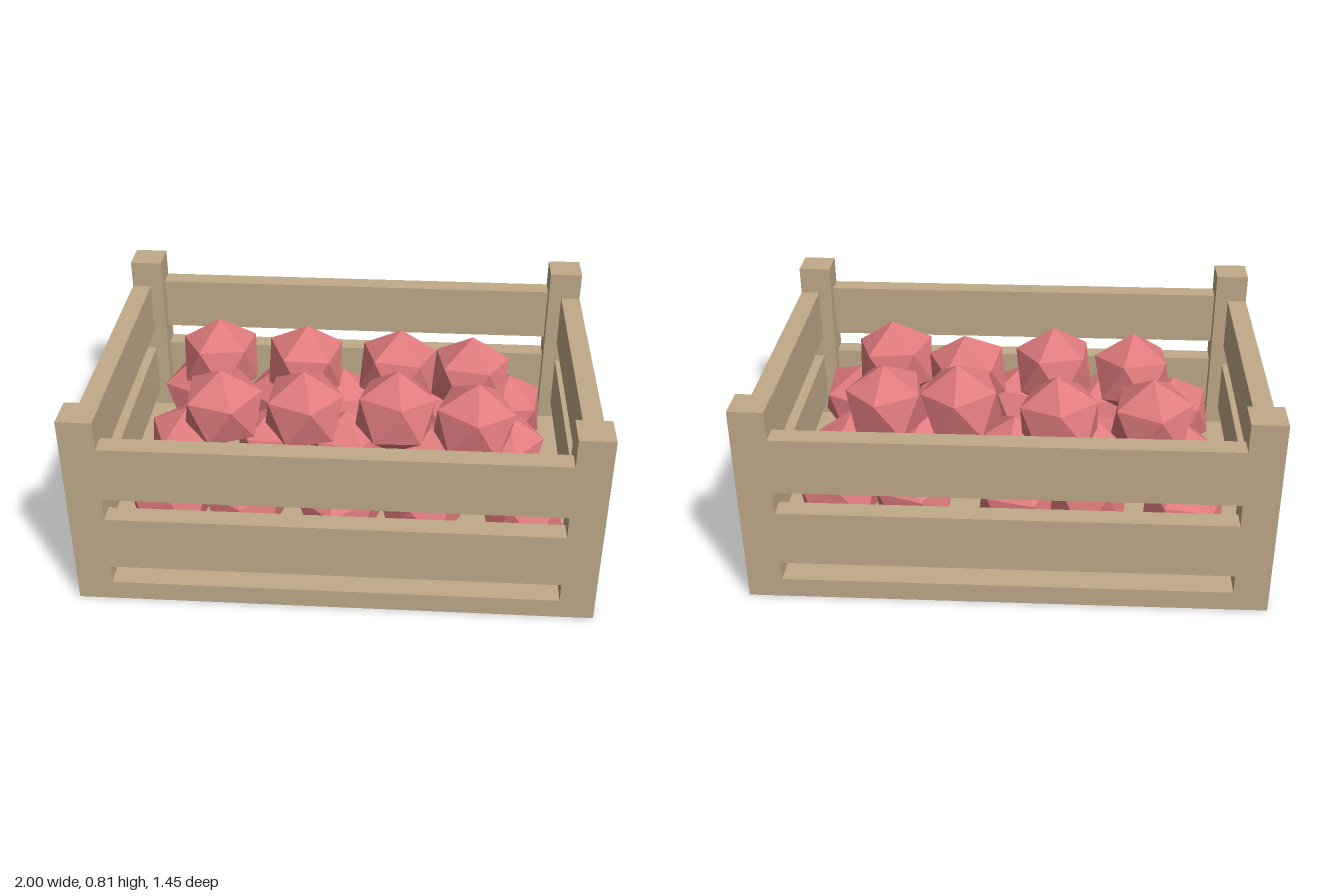
import * as THREE from 'three';

const wood = new THREE.MeshStandardMaterial({ color: 0xc0ab89, flatShading: true });
const skin = new THREE.MeshStandardMaterial({ color: 0xe07b7e, flatShading: true });

const HX = 1, HZ = 0.725;      // half width and half depth of the crate
const BASE = 0.08, POST = 0.135, SLAT = 0.08, R = 0.18;

function board(parent, name, w, h, d, x, y, z) {
  const mesh = new THREE.Mesh(new THREE.BoxGeometry(w, h, d), wood);
  mesh.name = name;
  mesh.position.set(x, y, z);
  parent.add(mesh);
}

function createCrate() {
  const crate = new THREE.Group();
  crate.name = 'crate';
  board(crate, 'base', HX * 2, BASE, HZ * 2, 0, BASE / 2, 0);

  // corner posts
  const postH = 0.815 - BASE;
  for (const sx of [-1, 1]) for (const sz of [-1, 1]) {
    board(crate, 'cornerPost', POST, postH, POST,
      sx * (HX - POST / 2), BASE + postH / 2, sz * (HZ - POST / 2));
  }

  // two rows of slats, flush with the outer faces of the posts
  for (const [y0, y1] of [[0.157, 0.383], [0.475, 0.7]]) {
    const h = y1 - y0, y = (y0 + y1) / 2;
    for (const s of [-1, 1]) {
      board(crate, s > 0 ? 'frontSlat' : 'backSlat',
        2 * (HX - POST), h, SLAT, 0, y, s * (HZ - SLAT / 2));
      board(crate, s > 0 ? 'leftSlat' : 'rightSlat',
        SLAT, h, 2 * (HZ - POST), s * (HX - SLAT / 2), y, 0);
    }
  }
  return crate;
}

function createFruit() {
  const fruit = new THREE.Group();
  fruit.name = 'fruit';
  // icosahedron turned so that one corner points up
  const geometry = new THREE.IcosahedronGeometry(R, 0);
  geometry.rotateX(-Math.atan((1 + Math.sqrt(5)) / 2));

  // [x, z] centres of each layer
  const layers = [
    { name: 'lowerFruit', y: 0.255, spots: [
      [-0.68, -0.435], [-0.305, -0.36], [-0.03, -0.36], [0.385, -0.36], [0.69, -0.36],
      [-0.68, -0.035], [-0.305, -0.01], [0, -0.01], [0.38, 0.02], [0.67, -0.03],
      [-0.685, 0.37], [-0.38, 0.39], [0, 0.405], [0.32, 0.36], [0.725, 0.415]] },
    { name: 'upperFruit', y: 0.552, spots: [
      [-0.553, -0.235], [-0.187, -0.23], [0.21, -0.165], [0.515, -0.15],
      [-0.487, 0.16], [-0.155, 0.18], [0.21, 0.15], [0.525, 0.23]] },
  ];
  let n = 0;
  for (const { name, y, spots } of layers) {
    for (const [x, z] of spots) {
      const mesh = new THREE.Mesh(geometry, skin);
      mesh.name = name;
      mesh.position.set(x, y + 0.01 * Math.sin(n * 2.3), z);
      // varied turn and a slight tilt
      mesh.rotation.set(0.12 * Math.sin(n * 1.7), n * 2.4, 0.12 * Math.cos(n * 2.9));
      fruit.add(mesh);
      n++;
    }
  }
  return fruit;
}

export function createModel() {
  const model = new THREE.Group();
  model.name = 'fruitCrate';
  model.add(createCrate(), createFruit());
  return model;
}
